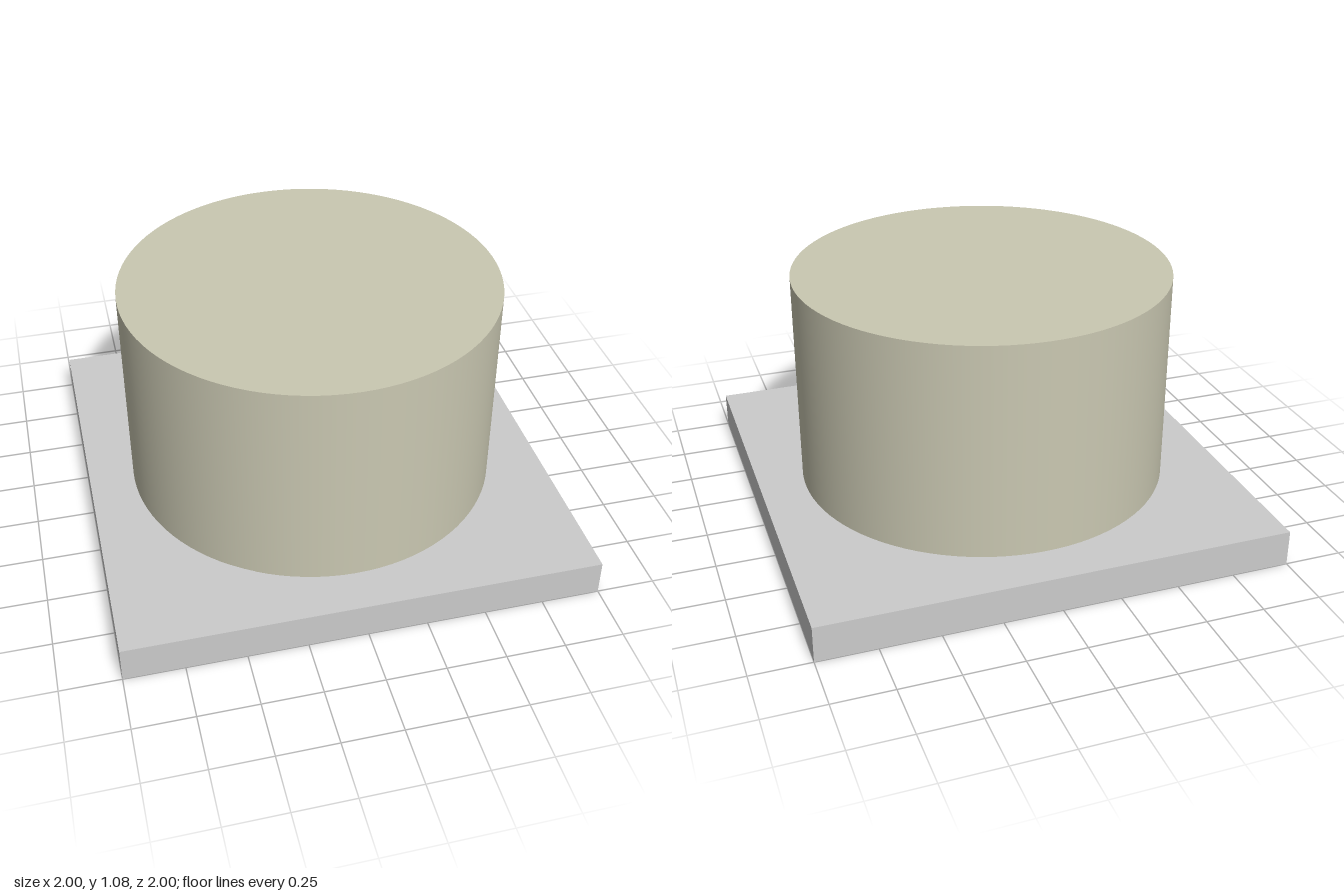
import * as THREE from 'three';

const BOARD_HEIGHT = 0.155;
const CAKE_TOP = 1.08;
const CAKE_RADIUS = 0.805;

export function createModel() {
  const group = new THREE.Group();
  const grey = new THREE.MeshStandardMaterial({ color: 0xcccccc });
  const cream = new THREE.MeshStandardMaterial({ color: 0xcac8b2 });

  const add = (name, geometry, material, x, y, z) => {
    const mesh = new THREE.Mesh(geometry, material);
    mesh.name = name;
    mesh.position.set(x, y, z);
    group.add(mesh);
  };

  // Square board under the cake
  add('cakeBoard', new THREE.BoxGeometry(2, BOARD_HEIGHT, 2), grey, 0, BOARD_HEIGHT / 2, 0);

  // Round cake with smooth sides and sharp rims
  const cakeHeight = CAKE_TOP - BOARD_HEIGHT;
  add('cake', new THREE.CylinderGeometry(CAKE_RADIUS, CAKE_RADIUS, cakeHeight, 96),
    cream, 0, BOARD_HEIGHT + cakeHeight / 2, 0);

  // Blank label, almost flush with the board's front right corner
  const label = new THREE.PlaneGeometry(0.48, 0.24).rotateX(-Math.PI / 2);
  add('blankLabel', label, grey, -0.64, BOARD_HEIGHT + 0.001, 0.755);

  return group;
}
